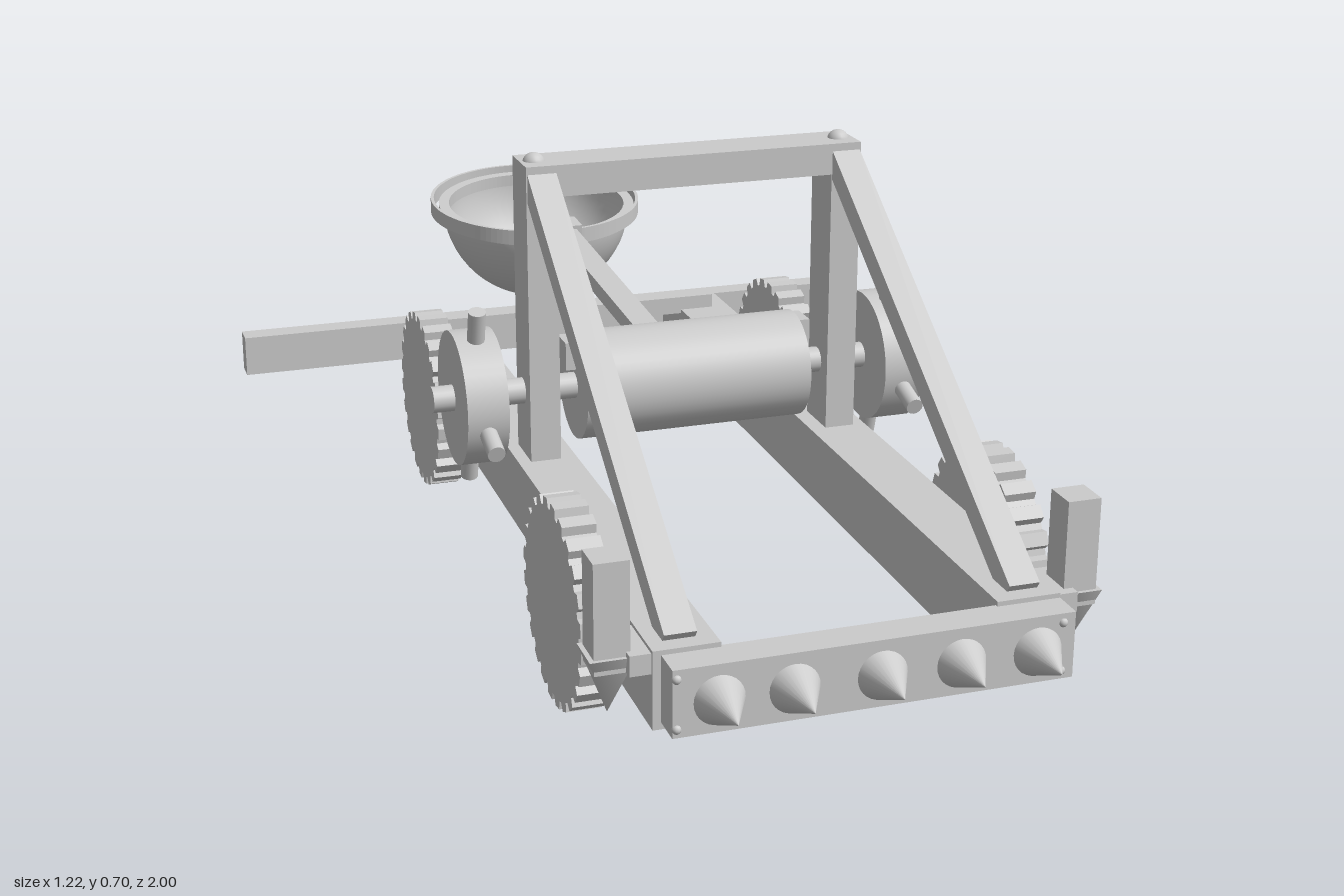
import * as THREE from 'three';

const material = new THREE.MeshStandardMaterial({ color: 0xcccccc });
const openMaterial = new THREE.MeshStandardMaterial({ color: 0xcccccc, side: THREE.DoubleSide });

export function createModel() {
  const model = new THREE.Group();

  const add = (name, geometry, x = 0, y = 0, z = 0, parent = model, mat = material) => {
    const mesh = new THREE.Mesh(geometry, mat);
    mesh.name = name;
    mesh.position.set(x, y, z);
    parent.add(mesh);
    return mesh;
  };
  // Box given by its extents on each axis
  const box = (name, [x0, x1], [y0, y1], [z0, z1]) =>
    add(name, new THREE.BoxGeometry(x1 - x0, y1 - y0, z1 - z0), (x0 + x1) / 2, (y0 + y1) / 2, (z0 + z1) / 2);
  // Cylinder lying along x
  const roller = (name, r, x0, x1, y, z, sides = 40) => {
    const geo = new THREE.CylinderGeometry(r, r, x1 - x0, sides).rotateZ(Math.PI / 2);
    return add(name, geo, (x0 + x1) / 2, y, z);
  };
  // Sloping bar between two (y, z) points
  const bar = (name, x, width, height, [y0, z0], [y1, z1]) => {
    const geo = new THREE.BoxGeometry(width, height, Math.hypot(y1 - y0, z1 - z0));
    const mesh = add(name, geo, x, (y0 + y1) / 2, (z0 + z1) / 2);
    mesh.rotation.x = -Math.atan2(y1 - y0, z1 - z0);
    return mesh;
  };

  // Toothed wheel outline
  const teeth = 24;
  const outline = [];
  for (let i = 0; i < teeth; i++) {
    [[0, 0.142], [0.12, 0.155], [0.62, 0.155], [0.74, 0.142]].forEach(([t, r]) => {
      const a = ((i + t) / teeth) * Math.PI * 2;
      outline.push(new THREE.Vector2(Math.cos(a) * r, Math.sin(a) * r));
    });
  }
  const wheelGeo = new THREE.ExtrudeGeometry(new THREE.Shape(outline), { depth: 0.05, bevelEnabled: false });
  wheelGeo.translate(0, 0, -0.025).rotateY(Math.PI / 2);

  const axleY = 0.31, axleZ = 0.137;
  for (const s of [-1, 1]) {
    const side = s > 0 ? 'left' : 'right';
    const span = (a, b) => (s > 0 ? [a, b] : [-b, -a]);

    // Frame rail, upright and brace
    box(side + 'Rail', span(0.2, 0.295), [0.09, 0.205], [-0.61, 0.88]);
    box(side + 'Post', span(0.226, 0.275), [0.2, 0.685], [0.1, 0.183]);
    bar(side + 'Brace', s * 0.25, 0.046, 0.038, [0.662, 0.165], [0.2, 0.85]);
    add(side + 'PostStud', new THREE.SphereGeometry(0.018, 20, 12), s * 0.252, 0.68, 0.142);

    // Wheels
    for (const z of [0.587, -0.307]) add(side + 'Wheel', wheelGeo, s * 0.328, 0.152, z);

    // Winch hub with four handles
    const hubX = s > 0 ? 0.337 : -0.356;
    roller(side + 'WinchHub', 0.107, hubX - 0.033, hubX + 0.033, axleY, axleZ);
    for (let i = 0; i < 4; i++) {
      const spokes = new THREE.Group();
      spokes.name = side + 'WinchHandle';
      spokes.position.set(hubX, axleY, axleZ);
      spokes.rotation.x = 0.28 + (i * Math.PI) / 2;
      add('handlePeg', new THREE.CylinderGeometry(0.014, 0.014, 0.08, 16), 0, 0.118, 0, spokes);
      model.add(spokes);
    }

    // Front stake with pyramid point and its bracket
    const stakeX = s > 0 ? 0.336 : -0.344;
    box(side + 'Stake', [stakeX - 0.025, stakeX + 0.025], [0.17, 0.33], [0.808, 0.86]);
    const point = new THREE.ConeGeometry(0.045, 0.09, 4).rotateX(Math.PI).rotateY(Math.PI / 4);
    add(side + 'StakePoint', point, stakeX, 0.148, 0.834);
    box(side + 'StakeBracket', span(0.27, 0.325), [0.17, 0.2], [0.785, 0.875]);

    // Rear beam connectors and bolts
    box(side + 'RearConnector', span(0.226, 0.275), [0.122, 0.168], [-0.66, -0.6]);
    add(side + 'RearBolt', new THREE.SphereGeometry(0.018, 20, 12), s * 0.248, 0.145, -0.693);

    // Drum catches
    box(side + 'DrumCatch', span(0.18, 0.207), [0.34, 0.385], [0.1, 0.15]);

    // Front beam bolts
    for (const y of [0.112, 0.184]) add(side + 'FrontBolt', new THREE.SphereGeometry(0.007, 10, 8), s * 0.277, y, 0.925);
  }

  // Cross members
  box('topCrossbar', [-0.275, 0.275], [0.635, 0.685], [0.1, 0.183]);
  box('frontBeam', [-0.283, 0.295], [0.1, 0.198], [0.875, 0.927]);
  box('rearBeam', [-0.613, 0.61], [0.108, 0.181], [-0.693, -0.65]);
  box('armRest', [-0.263, 0.263], [0.198, 0.23], [-0.54, -0.497]);

  // Front spikes
  for (const x of [-0.218, -0.113, 0.012, 0.127, 0.24]) {
    add('frontSpike', new THREE.ConeGeometry(0.037, 0.075, 28).rotateX(Math.PI / 2), x, 0.146, 0.9625);
  }

  // Winch axle and drum
  roller('axle', 0.021, -0.423, 0.414, axleY, axleZ, 24);
  roller('drum', 0.087, -0.19, 0.185, 0.308, 0.131, 48);

  // Throwing arm and its socket
  bar('throwingArm', -0.011, 0.044, 0.028, [0.313, 0.1], [0.354, -0.6]);
  bar('armSocket', -0.011, 0.066, 0.04, [0.352, -0.56], [0.355, -0.615]);

  // Bowl, tilted with the arm, with a loose band round its rim
  const bowl = new THREE.Group();
  bowl.name = 'bowl';
  bowl.position.set(-0.009, 0.361, -0.785);
  bowl.rotation.x = 0.075;
  model.add(bowl);
  const arc = (r, from, to) => Array.from({ length: 17 }, (_, i) => {
    const a = from + ((to - from) * i) / 16;
    return new THREE.Vector2(Math.max(0, r * Math.sin(a)), -r * Math.cos(a));
  });
  const lathe = (pts) => new THREE.LatheGeometry(pts, 56);
  add('bowlOutside', lathe(arc(0.184, 0, Math.PI / 2)), 0, 0, 0, bowl, openMaterial);
  add('bowlInside', lathe(arc(0.173, 0, Math.PI / 2)), 0, 0, 0, bowl, openMaterial);
  const ring = (r0, r1, y0, y1) => {
    const shape = new THREE.Shape().absarc(0, 0, r1, 0, Math.PI * 2);
    shape.holes.push(new THREE.Path().absarc(0, 0, r0, 0, Math.PI * 2));
    const geo = new THREE.ExtrudeGeometry(shape, { depth: y1 - y0, bevelEnabled: false, curveSegments: 56 });
    return geo.rotateX(-Math.PI / 2).translate(0, y0, 0);
  };
  add('bowlRim', ring(0.173, 0.193, -0.02, 0.003), 0, 0, 0.003, bowl);
  add('bowlBand', ring(0.2, 0.206, -0.018, 0.01), 0, 0, -0.01, bowl);

  return model;
}
